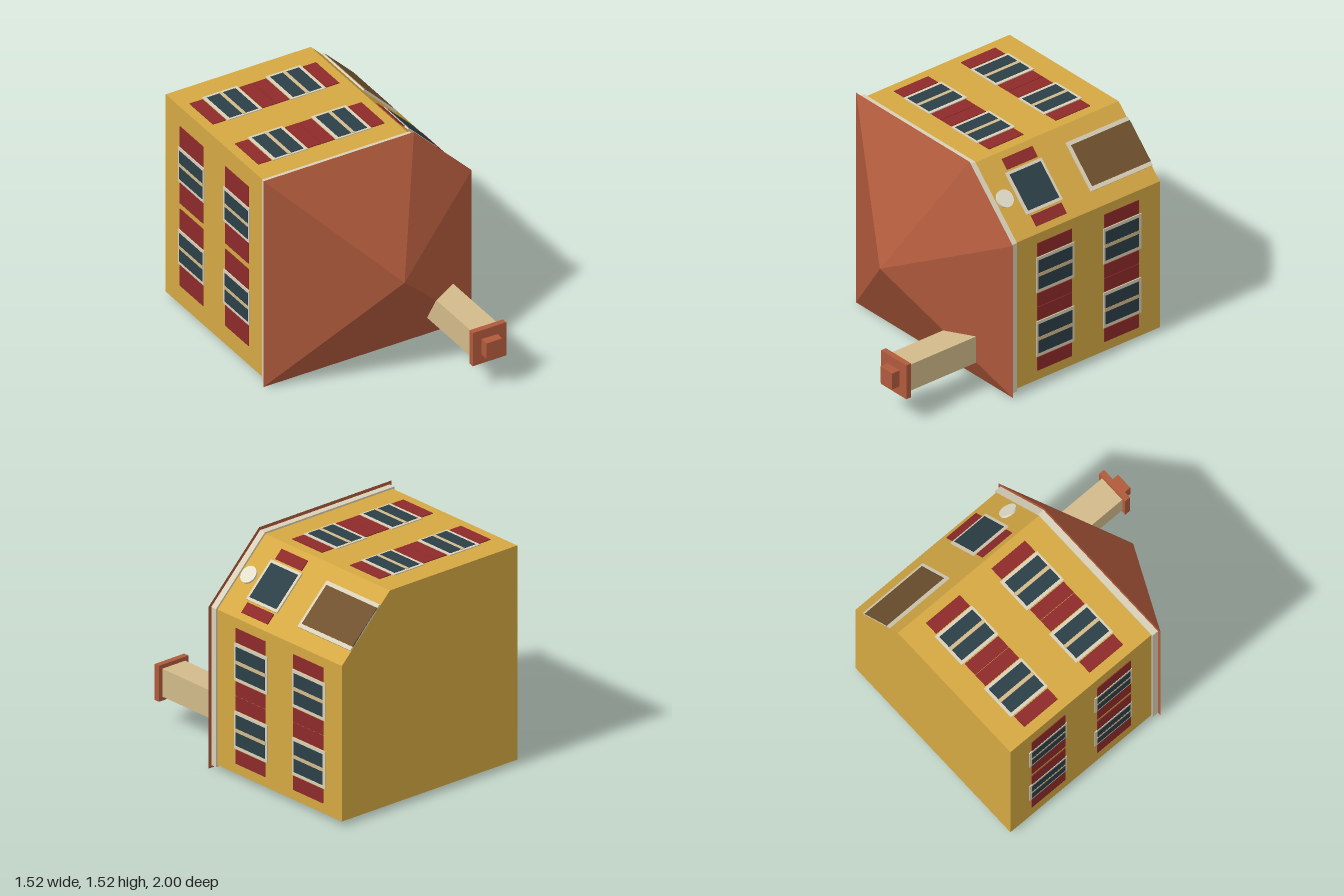
import * as THREE from 'three';

const mat = (color) => new THREE.MeshStandardMaterial({ color, flatShading: true });
const WALL = mat(0xd4a843), TRIM = mat(0xd9d0b8), GLASS = mat(0x2c3f47), SHUTTER = mat(0x8e2a2a);
const ROOF = mat(0xb05a3c), STONE = mat(0xd2ba8a), DOOR = mat(0x70522f), LAMP = mat(0xe4e0cc);

function add(parent, name, geometry, material, x = 0, y = 0, z = 0) {
  const mesh = new THREE.Mesh(geometry, material);
  mesh.name = name;
  mesh.position.set(x, y, z);
  parent.add(mesh);
  return mesh;
}

// Square plan with one corner cut off; c is where the cut starts
const plan = (h, c) => [[-h, 0.765 - h], [h, 0.765 - h], [h, 0.765 + c], [c, 0.765 + h], [-h, 0.765 + h]];

function prism(points, z0, z1) {
  const shape = new THREE.Shape(points.map(([x, y]) => new THREE.Vector2(x, y)));
  return new THREE.ExtrudeGeometry(shape, { depth: z1 - z0, bevelEnabled: false }).translate(0, 0, z0);
}

// Pyramid from the plan outline to an apex, closed underneath
function roofGeometry(points, z, apex) {
  const pos = [];
  const [x0, y0] = points[0];
  points.forEach(([x, y], i) => {
    const [nx, ny] = points[(i + 1) % points.length];
    pos.push(x, y, z, nx, ny, z, ...apex);
    if (i > 0 && i < points.length - 1) pos.push(x0, y0, z, nx, ny, z, x, y, z);
  });
  const g = new THREE.BufferGeometry();
  g.setAttribute('position', new THREE.Float32BufferAttribute(pos, 3));
  g.computeVertexNormals();
  return g;
}

// Group lying on a wall: local x runs along it, local y follows z, local z points outward
function wallGroup(parent, name, x, y, angle) {
  const n = new THREE.Vector3(Math.cos(angle), Math.sin(angle), 0);
  const up = new THREE.Vector3(0, 0, 1);
  const g = new THREE.Group();
  g.name = name;
  g.quaternion.setFromRotationMatrix(new THREE.Matrix4().makeBasis(up.clone().cross(n), up, n));
  g.position.set(x, y, 0);
  parent.add(g);
  return g;
}

// Thin slab on a wall between two heights
function slab(g, name, u, width, v0, v1, thick, material) {
  add(g, name, new THREE.BoxGeometry(width, v1 - v0, thick), material, u, (v0 + v1) / 2, thick / 2);
}

// Two-pane window with a shutter on each side
function shutteredWindow(g, u, top, shutterWidth) {
  slab(g, 'windowFrame', u, 0.255, top - 0.3, top + 0.01, 0.006, TRIM);
  slab(g, 'mullion', u, 0.025, top - 0.285, top, 0.009, STONE);
  for (const s of [-1, 1]) {
    slab(g, 'windowPane', u + s * 0.059, 0.092, top - 0.28, top - 0.005, 0.008, GLASS);
    slab(g, 'shutter', u + s * (0.134 + shutterWidth / 2), shutterWidth, top - 0.28, top, 0.005, SHUTTER);
  }
}

export function createModel() {
  const house = new THREE.Group();
  house.name = 'house';

  // Body, eaves trim and roof
  add(house, 'walls', prism(plan(0.73, 0.33), -1, 0.18), WALL);
  add(house, 'eavesTrim', prism(plan(0.742, 0.336), 0.175, 0.22), TRIM);
  add(house, 'roof', roofGeometry(plan(0.762, 0.34), 0.224, [0, 0.765, 0.67]), ROOF);

  // Chimney
  add(house, 'chimney', new THREE.BoxGeometry(0.19, 0.19, 0.69), STONE, 0.456, 0.306, 0.56);
  add(house, 'chimneyCap', new THREE.BoxGeometry(0.245, 0.245, 0.04), ROOF, 0.456, 0.306, 0.92);
  add(house, 'chimneyPot', new THREE.BoxGeometry(0.115, 0.115, 0.06), ROOF, 0.456, 0.306, 0.97);

  // Four windowed walls: [name, centre, facing, window offset, shutter width]
  const walls = [
    ['leftWall', 0.73, 0.565, 0, 0.232, 0.096],
    ['topWall', -0.2, 1.495, Math.PI / 2, 0.232, 0.096],
    ['rightWall', -0.73, 0.765, Math.PI, 0.305, 0.15],
    ['bottomWall', 0, 0.035, -Math.PI / 2, 0.305, 0.15],
  ];
  for (const [name, x, y, angle, offset, shutterWidth] of walls) {
    const g = wallGroup(house, name, x, y, angle);
    for (const s of [-1, 1]) for (const top of [0, -0.545]) shutteredWindow(g, s * offset, top, shutterWidth);
  }

  // Entrance on the cut corner: door, single window and round lamp
  const entry = wallGroup(house, 'entranceWall', 0.53, 1.295, Math.PI / 4);
  slab(entry, 'doorFrame', 0, 0.345, -1, -0.5, 0.012, TRIM);
  slab(entry, 'door', 0, 0.29, -1, -0.522, 0.015, DOOR);
  slab(entry, 'entryWindowFrame', 0, 0.296, -0.285, 0.008, 0.01, TRIM);
  slab(entry, 'entryWindowPane', 0, 0.256, -0.265, -0.012, 0.013, GLASS);
  for (const s of [-1, 1]) slab(entry, 'entryShutter', s * 0.2, 0.076, -0.265, -0.018, 0.007, SHUTTER);
  const disc = new THREE.CylinderGeometry(0.06, 0.06, 0.014, 32).rotateX(Math.PI / 2);
  add(entry, 'roundLamp', disc, LAMP, 0, 0.1, 0.007);

  // Settle on the ground
  house.position.y = -new THREE.Box3().setFromObject(house).min.y;
  const model = new THREE.Group();
  model.add(house);
  return model;
}
